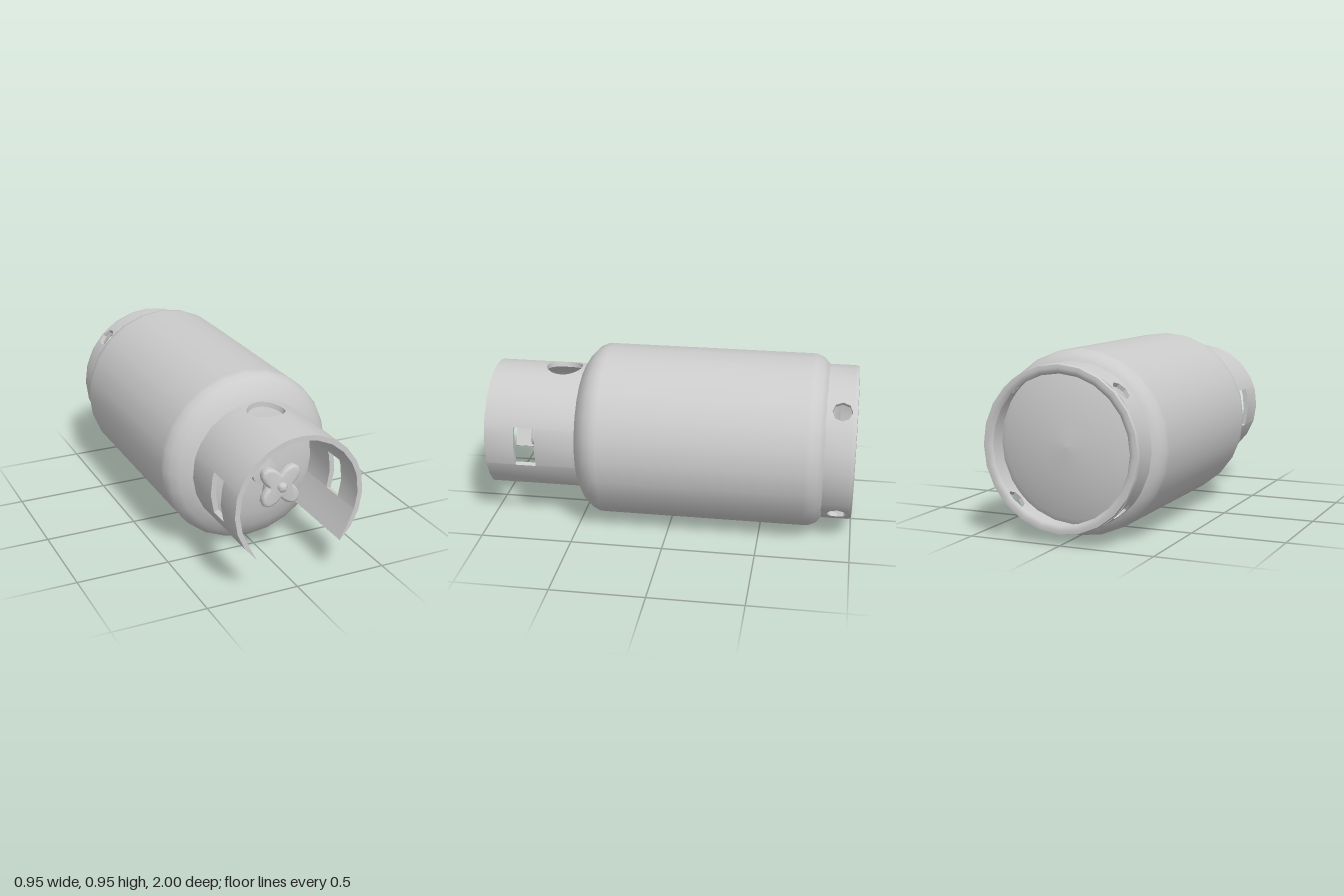
import * as THREE from 'three';
import { toCreasedNormals } from 'three/addons/utils/BufferGeometryUtils.js';

const AXIS_Y = 0.475;

// Curved wall around the z axis with holes.
// Each hole: angle a, position z, and outline [angle offset, half height] from edge to edge.
function curvedWall({ start, end, steps, z0, z1, outer, inner, holes, open }) {
  const angles = [];
  for (let i = 0; i <= steps; i++) angles.push(start + (end - start) * i / steps);
  for (const h of holes) for (const [da] of h.outline) angles.push(h.a + da);
  angles.sort((p, q) => p - q);
  const cols = angles.filter((a, i) => i === 0 || a - angles[i - 1] > 1e-4);

  const pos = [];
  const P = (r, a, z) => [r(a) * Math.cos(a), r(a) * Math.sin(a), z];
  const quad = (a, b, c, d) => pos.push(...a, ...b, ...c, ...a, ...c, ...d);
  const halfHeight = (h, a) => {
    const o = h.outline, d = a - h.a;
    for (let i = 1; i < o.length; i++) {
      if (d <= o[i][0] + 1e-4) {
        const t = (d - o[i - 1][0]) / (o[i][0] - o[i - 1][0]);
        return THREE.MathUtils.lerp(o[i - 1][1], o[i][1], THREE.MathUtils.clamp(t, 0, 1));
      }
    }
    return 0;
  };
  // wall piece between two angles; its z range may differ on each side
  const piece = (a, b, la, ha, lb, hb) => {
    quad(P(outer, a, la), P(outer, b, lb), P(outer, b, hb), P(outer, a, ha));
    quad(P(inner, a, ha), P(inner, b, hb), P(inner, b, lb), P(inner, a, la));
    quad(P(inner, a, ha), P(outer, a, ha), P(outer, b, hb), P(inner, b, hb));
    quad(P(inner, b, lb), P(outer, b, lb), P(outer, a, la), P(inner, a, la));
  };
  // cut edge facing along (+1) or against (-1) the angle
  const edge = (a, lo, hi, dir) => {
    const q = [P(inner, a, lo), P(inner, a, hi), P(outer, a, hi), P(outer, a, lo)];
    quad(...(dir > 0 ? q : q.reverse()));
  };

  for (let i = 0; i < cols.length - 1; i++) {
    const a = cols[i], b = cols[i + 1], mid = (a + b) / 2;
    const h = holes.find(k => mid > k.a + k.outline[0][0] && mid < k.a + k.outline.at(-1)[0]);
    if (!h) { piece(a, b, z0, z1, z0, z1); continue; }
    const pa = halfHeight(h, a), pb = halfHeight(h, b);
    piece(a, b, z0, h.z - pa, z0, h.z - pb);
    piece(a, b, h.z + pa, z1, h.z + pb, z1);
  }
  for (const h of holes) {
    const [first, last] = [h.outline[0], h.outline.at(-1)];
    if (first[1] > 0) edge(h.a + first[0], h.z - first[1], h.z + first[1], 1);
    if (last[1] > 0) edge(h.a + last[0], h.z - last[1], h.z + last[1], -1);
  }
  if (open) { edge(start, z0, z1, -1); edge(end, z0, z1, 1); }

  const geo = new THREE.BufferGeometry();
  geo.setAttribute('position', new THREE.Float32BufferAttribute(pos, 3));
  return toCreasedNormals(geo, 0.7);
}

// Outline of a round hole cut in a wall of the given radius
function roundOutline(radius, wallRadius, n) {
  const pts = [];
  for (let i = 0; i <= n; i++) {
    const t = Math.PI * i / n;
    pts.push([-Math.cos(t) * radius / wallRadius, i % n ? Math.sin(t) * radius : 0]);
  }
  return pts;
}

// Turned part around the z axis, profile as [radius, z] from back to front
function turned(profile, sides) {
  return new THREE.LatheGeometry(profile.map(p => new THREE.Vector2(...p)), sides).rotateX(Math.PI / 2);
}

export function createModel() {
  const model = new THREE.Group();
  const material = new THREE.MeshStandardMaterial({ color: 0xcccccc });
  const add = (name, geo, parent = model) => {
    const mesh = new THREE.Mesh(geo, material);
    mesh.name = name;
    parent.add(mesh);
    return mesh;
  };
  const cylinder = new THREE.Group();
  cylinder.name = 'gasCylinder';
  cylinder.position.y = AXIS_Y;
  model.add(cylinder);

  // Tank with domed ends
  add('tank', turned([
    [0, -0.92], [0.15, -0.91], [0.28, -0.885], [0.37, -0.86], [0.42, -0.84], [0.455, -0.81],
    [0.473, -0.77], [0.475, -0.74], [0.475, 0.36], [0.473, 0.39], [0.455, 0.43], [0.42, 0.465],
    [0.36, 0.5], [0.275, 0.53], [0.15, 0.55], [0, 0.555],
  ], 24), cylinder);

  // Foot ring with four vent holes and an inward lip
  add('footRing', curvedWall({
    start: 0, end: Math.PI * 2, steps: 24, z0: -0.98, z1: -0.82,
    outer: () => 0.422, inner: () => 0.4,
    holes: [1, 3, 5, 7].map(k => ({ a: k * Math.PI / 4, z: -0.92, outline: roundOutline(0.053, 0.42, 4) })),
  }), cylinder);
  add('footLip', toCreasedNormals(turned([
    [0.422, -0.98], [0.4, -0.975], [0.38, -0.977], [0.372, -0.985], [0.38, -0.996],
    [0.4, -1], [0.418, -0.998], [0.422, -0.98],
  ], 24), 0.9), cylinder);

  // Collar guard, open at the bottom, thinning to its ends
  const start = -0.84, end = Math.PI + 0.84;
  const taper = a => Math.min(1, 0.1 + Math.min(a - start, end - a) / 0.35);
  const slot = [[-0.32, 0.058], [0.32, 0.058]];
  add('collar', curvedWall({
    start, end, steps: 18, z0: 0.46, z1: 1, open: true,
    outer: () => 0.354, inner: a => 0.354 - 0.027 * taper(a),
    holes: [
      { a: 0, z: 0.78, outline: slot },
      { a: Math.PI / 2, z: 0.62, outline: roundOutline(0.1, 0.354, 10) },
      { a: Math.PI, z: 0.78, outline: slot },
    ],
  }), cylinder);

  // Valve body and stem
  const valve = new THREE.Group();
  valve.name = 'valve';
  cylinder.add(valve);
  add('valveBody', toCreasedNormals(turned([
    [0, 0.53], [0.07, 0.53], [0.07, 0.62], [0.03, 0.625], [0.03, 0.65], [0.045, 0.655],
    [0.045, 0.72], [0.022, 0.725], [0.022, 0.79], [0, 0.79],
  ], 16), 0.6), valve);

  // Outlet pointing down
  const outlet = add('outlet', new THREE.CylinderGeometry(0.03, 0.045, 0.095, 14), valve);
  outlet.position.set(0, -0.0475, 0.685);

  // Four-lobed hand wheel with hub
  const lobes = [];
  for (let i = 0; i < 48; i++) {
    const t = i / 48 * Math.PI * 2, r = 0.084 - 0.036 * Math.cos(4 * t);
    lobes.push(new THREE.Vector2(r * Math.cos(t), r * Math.sin(t)));
  }
  const wheel = new THREE.ExtrudeGeometry(new THREE.Shape(lobes), {
    depth: 0.02, bevelEnabled: true, bevelThickness: 0.015, bevelSize: 0.014, bevelSegments: 3,
  }).translate(0, 0, 0.775);
  add('handWheel', toCreasedNormals(wheel, 0.9), valve);
  add('wheelHub', toCreasedNormals(turned([
    [0.026, 0.8], [0.026, 0.825], [0.018, 0.835], [0, 0.838],
  ], 10), 0.9), valve);

  return model;
}
